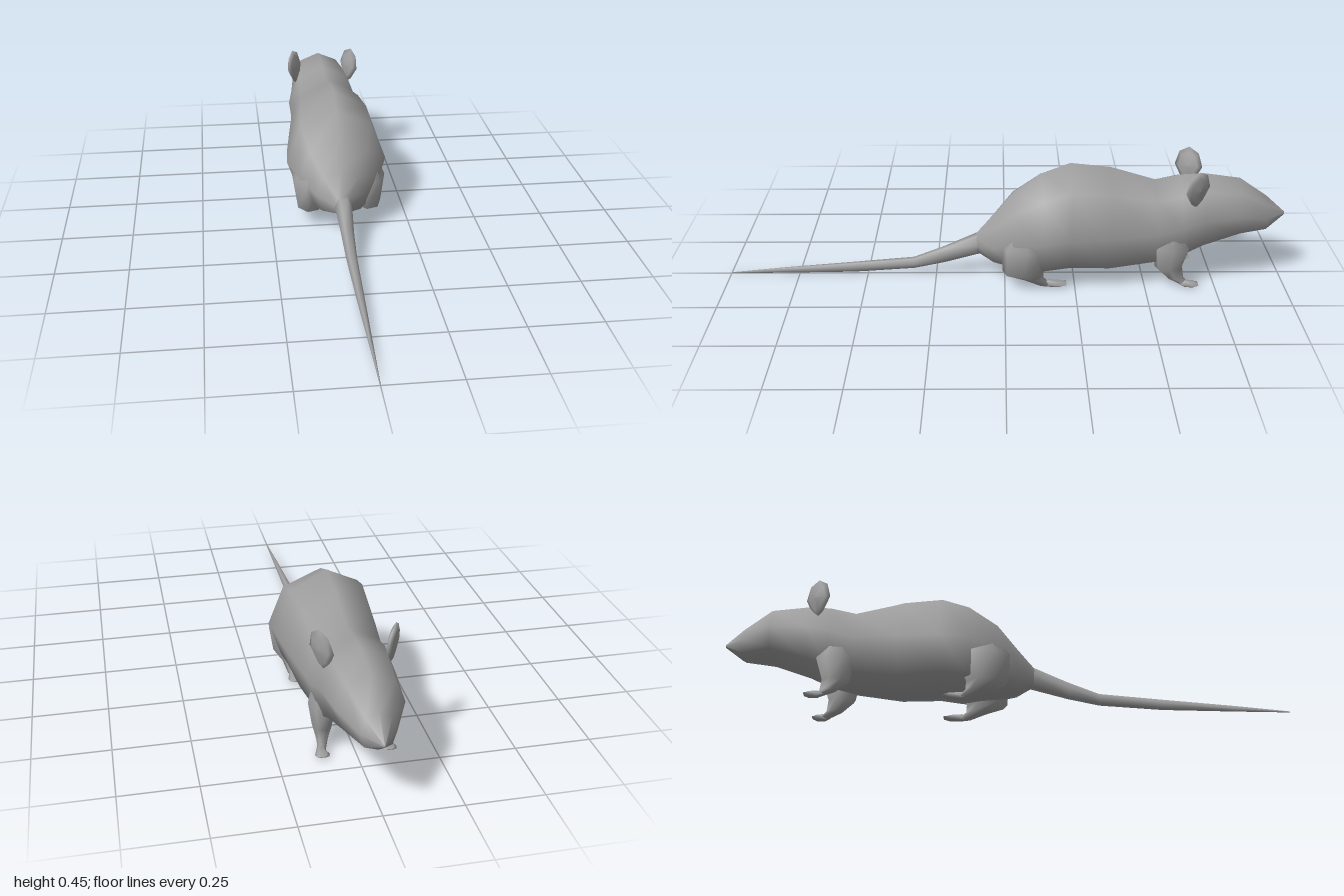
import * as THREE from 'three';

const fur = new THREE.MeshStandardMaterial({ color: 0xa0a0a0 });
fur.name = 'grey fur';

// Skin a list of closed rings (arrays of [x, y, z]) with shared, smooth normals
function loft(name, rings) {
  const n = rings[0].length, index = [];
  for (let i = 0; i < rings.length - 1; i++) {
    for (let j = 0; j < n; j++) {
      const a = i * n + j, b = i * n + (j + 1) % n;
      index.push(a, a + n, b, b, a + n, b + n);
    }
  }
  const g = new THREE.BufferGeometry();
  g.setAttribute('position', new THREE.Float32BufferAttribute(rings.flat(2), 3));
  g.setIndex(index);
  g.computeVertexNormals();
  const mesh = new THREE.Mesh(g, fur);
  mesh.name = name;
  return mesh;
}

// Upright ring at z: top, bottom, height of the widest point, half width
function upright(z, top, bottom, wide, w, n = 8, x = 0) {
  return Array.from({ length: n }, (_, j) => {
    const t = (j / n) * Math.PI * 2, s = Math.sin(t), c = Math.cos(t);
    const full = s < -0.1 ? 1.08 : 1;
    const k = Math.abs(c) > 0.1 && Math.abs(c) < 0.9 ? full : 1;
    return [x + c * w * k, wide + s * k * (s > 0 ? top - wide : wide - bottom), z];
  });
}

// Level ring at height y, for the limbs
function level(x, y, z, rx, rz, n = 7) {
  return Array.from({ length: n }, (_, j) => {
    const t = (j / n) * Math.PI * 2;
    return [x + Math.cos(t) * rx, y, z - Math.sin(t) * rz];
  });
}

export function createModel() {
  const group = new THREE.Group();
  group.name = 'rodent';

  // Rump, back, shoulders, head and nose, from back to front
  group.add(loft('body', [
    [0.11, 0.125, 0.125, 0.125, 0],
    [0.10, 0.165, 0.09, 0.125, 0.03],
    [0.04, 0.235, 0.06, 0.14, 0.09],
    [-0.03, 0.32, 0.05, 0.18, 0.148],
    [-0.13, 0.395, 0.04, 0.20, 0.183],
    [-0.23, 0.435, 0.052, 0.21, 0.174],
    [-0.37, 0.42, 0.04, 0.21, 0.157],
    [-0.53, 0.372, 0.06, 0.215, 0.136],
    [-0.62, 0.39, 0.085, 0.24, 0.138],
    [-0.70, 0.395, 0.125, 0.26, 0.122],
    [-0.83, 0.377, 0.175, 0.27, 0.106],
    [-0.93, 0.308, 0.182, 0.24, 0.055],
    [-1.0, 0.245, 0.235, 0.24, 0.004],
    [-1.0, 0.24, 0.24, 0.24, 0],
  ].map((s) => upright(...s))));

  // Long tapering tail
  group.add(loft('tail', [
    [1.0, 0.004, 0.0, 0.002, 0.001],
    [0.8, 0.024, 0.003, 0.012, 0.007],
    [0.55, 0.045, 0.008, 0.026, 0.014],
    [0.33, 0.064, 0.024, 0.044, 0.019],
    [0.22, 0.108, 0.048, 0.078, 0.023],
    [0.08, 0.172, 0.088, 0.13, 0.032],
  ].map((s) => upright(s[0], s[1], s[2], s[3], s[4], 6))));

  for (const [side, s] of [['left', 1], ['right', -1]]) {
    // Ear: a thin faceted disc, narrower at its root
    const ear = new THREE.SphereGeometry(1, 8, 4);
    ear.rotateZ(Math.PI / 2);
    const p = ear.attributes.position;
    for (let i = 0; i < p.count; i++) {
      const y = p.getY(i);
      p.setXYZ(i, p.getX(i) * 0.013, y * 0.07, p.getZ(i) * (y < -0.3 ? 0.035 : 0.053));
    }
    ear.computeVertexNormals();
    ear.rotateY(s * 0.55);
    ear.rotateZ(-s * 0.12);
    ear.translate(s * 0.11, 0.378, -0.665);
    const earMesh = new THREE.Mesh(ear, fur);
    earMesh.name = side + 'Ear';
    group.add(earMesh);

    // Hind leg with a full thigh
    group.add(loft(side + 'HindLeg', [
      [0.10, 0.25, -0.09, 0.03, 0.04],
      [0.107, 0.16, -0.08, 0.066, 0.095],
      [0.108, 0.06, -0.065, 0.048, 0.075],
      [0.105, 0.033, -0.10, 0.024, 0.04],
      [0.102, 0.006, -0.145, 0.016, 0.025],
      [0.102, 0.006, -0.145, 0, 0],
    ].map(([x, ...r]) => level(x * s, ...r))));

    // Front leg
    group.add(loft(side + 'FrontLeg', [
      [0.095, 0.23, -0.59, 0.02, 0.03],
      [0.095, 0.15, -0.59, 0.042, 0.07],
      [0.092, 0.07, -0.585, 0.032, 0.05],
      [0.097, 0.03, -0.61, 0.018, 0.03],
      [0.105, 0.006, -0.65, 0.011, 0.018],
      [0.105, 0.006, -0.65, 0, 0],
    ].map(([x, ...r]) => level(x * s, ...r))));

    // Flat paws pointing forward
    for (const [part, x, z, len] of [['HindPaw', 0.102, -0.125, 0.095], ['FrontPaw', 0.108, -0.625, 0.065]]) {
      group.add(loft(side + part, [
        upright(z, 0.015, 0.01, 0.012, 0.006, 6, x * s),
        upright(z - len * 0.3, 0.026, 0.0, 0.008, 0.014, 6, x * s),
        upright(z - len * 0.75, 0.02, 0.002, 0.01, 0.024, 6, x * s),
        upright(z - len, 0.013, 0.009, 0.011, 0.018, 6, x * s),
        upright(z - len, 0.011, 0.011, 0.011, 0, 6, x * s),
      ]));
    }
  }
  return group;
}
